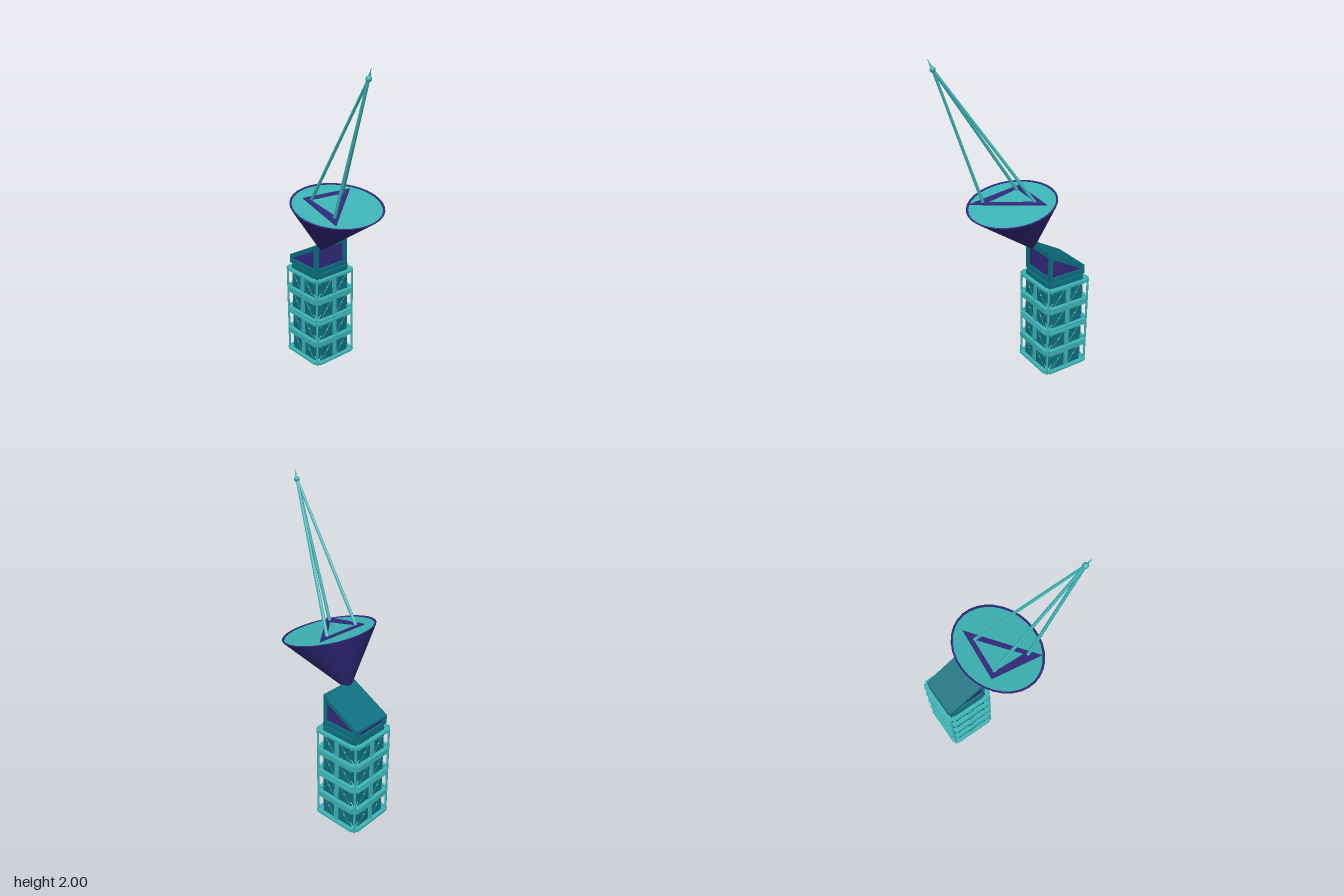
import * as THREE from 'three';
import { toCreasedNormals } from 'three/addons/utils/BufferGeometryUtils.js';

const teal = new THREE.MeshStandardMaterial({ color: 0x3cb4b6 });
const darkTeal = new THREE.MeshStandardMaterial({ color: 0x0c7080 });
const purple = new THREE.MeshStandardMaterial({ color: 0x32297c });

const V = (x, y, z) => new THREE.Vector3(x, y, z);

function add(parent, name, geometry, material, x = 0, y = 0, z = 0) {
  const mesh = new THREE.Mesh(geometry, material);
  mesh.name = name;
  mesh.position.set(x, y, z);
  parent.add(mesh);
  return mesh;
}

function box(parent, name, material, w, h, d, x, y, z) {
  return add(parent, name, new THREE.BoxGeometry(w, h, d), material, x, y, z);
}

// Thin rod between two points
function rod(parent, name, material, a, b, r0, r1 = r0, sides = 6) {
  const dir = b.clone().sub(a);
  const geo = toCreasedNormals(new THREE.CylinderGeometry(r1, r0, dir.length(), sides), 0.5);
  const mesh = add(parent, name, geo, material);
  mesh.position.copy(a).add(b).multiplyScalar(0.5);
  mesh.quaternion.setFromUnitVectors(V(0, 1, 0), dir.normalize());
  return mesh;
}

// Flat plate from an outline with an optional hole, extruded along +z
function plate(outline, hole, depth) {
  const toPoints = (list) => list.map(([x, y]) => new THREE.Vector2(x, y));
  const shape = new THREE.Shape(toPoints(outline));
  if (hole) shape.holes.push(new THREE.Path(toPoints(hole)));
  return new THREE.ExtrudeGeometry(shape, { depth, bevelEnabled: false });
}

const rect = (x0, y0, x1, y1) => [[x0, y0], [x1, y0], [x1, y1], [x0, y1]];

// One side of the lattice, built facing +z around the tower axis
function latticeSide() {
  const side = new THREE.Group();
  side.name = 'latticeSide';
  box(side, 'wallPanel', darkTeal, 0.225, 0.64, 0.02, 0, 0.325, 0.132);
  box(side, 'centrePost', teal, 0.028, 0.6, 0.012, 0, 0.31, 0.146);

  // Horizontal rails: thin at the ends, deep at quarter heights, paired in the middle
  for (const [y, h] of [[0.0075, 0.015], [0.155, 0.036], [0.3, 0.014], [0.322, 0.014], [0.465, 0.036], [0.607, 0.015]]) {
    box(side, 'rail', teal, 0.277, h, 0.03, 0, y, 0.152);
    box(side, 'innerRail', teal, 0.31, h * 0.8, 0.02, 0, y, 0.145);
  }

  // Cross bracing with a boss in each half bay
  for (const y of [0.08, 0.235, 0.39, 0.54]) {
    for (const s of [-1, 1]) {
      const x0 = s * 0.016, x1 = s * 0.108, z = 0.145, h = 0.058;
      rod(side, 'brace', darkTeal, V(x0, y - h, z), V(x1, y + h, z), 0.0025, 0.0025, 4);
      rod(side, 'brace', darkTeal, V(x0, y + h, z), V(x1, y - h, z), 0.0025, 0.0025, 4);
      add(side, 'boss', new THREE.SphereGeometry(0.007, 8, 6), teal, s * 0.062, y, z);
      // Corner gussets tying the posts to the wall
      for (const t of [-1, 1]) {
        rod(side, 'gusset', teal, V(s * 0.148, y + t * h, 0.148), V(s * 0.106, y + t * 0.03, 0.14), 0.003, 0.003, 4);
      }
    }
  }
  return side;
}

function buildTower() {
  const tower = new THREE.Group();
  tower.name = 'tower';
  box(tower, 'core', darkTeal, 0.25, 0.645, 0.25, 0, 0.3235, 0);
  box(tower, 'basePlate', teal, 0.315, 0.012, 0.315, 0, 0.006, 0);
  for (let i = 0; i < 4; i++) {
    const side = latticeSide();
    side.rotation.y = i * Math.PI / 2;
    tower.add(side);
  }
  for (const x of [-1, 1]) {
    for (const z of [-1, 1]) {
      rod(tower, 'cornerPost', teal, V(x * 0.15, 0, z * 0.15), V(x * 0.15, 0.615, z * 0.15), 0.007, 0.007, 8);
    }
  }
  tower.position.set(0.08, 0, -0.266);
  return tower;
}

// Wedge-shaped housing; side profiles use distance towards the back and height
function buildHousing() {
  const housing = new THREE.Group();
  housing.name = 'housing';
  const left = -0.058, right = 0.207, front = -0.14, back = -0.405;
  const profile = [[0.14, 0.645], [0.405, 0.645], [0.405, 0.7], [0.14, 0.845]];
  const opening = [[0.16, 0.675], [0.385, 0.675], [0.385, 0.682], [0.16, 0.803]];
  const inner = [[0.152, 0.65], [0.393, 0.65], [0.393, 0.7], [0.152, 0.832]];

  const core = plate(inner, null, right - left - 0.024).rotateY(Math.PI / 2);
  add(housing, 'panelCore', core, purple, left + 0.012);
  for (const x of [left, right - 0.013]) {
    add(housing, 'sideFrame', plate(profile, opening, 0.013).rotateY(Math.PI / 2), darkTeal, x);
  }
  const frontFrame = plate(rect(left, 0.645, right, 0.842), rect(-0.03, 0.675, 0.18, 0.808), 0.013);
  add(housing, 'frontFrame', frontFrame, darkTeal, 0, 0, front - 0.013);
  const backFrame = plate(rect(left, 0.645, right, 0.7), rect(-0.03, 0.658, 0.18, 0.69), 0.013);
  add(housing, 'backFrame', backFrame, darkTeal, 0, 0, back);

  const lid = [[0.14, 0.833], [0.405, 0.688], [0.405, 0.702], [0.14, 0.847]];
  add(housing, 'slopingLid', plate(lid, null, right - left).rotateY(Math.PI / 2), darkTeal, left);
  return housing;
}

function buildDish() {
  const dish = new THREE.Group();
  dish.name = 'dish';
  // Skewed cone: unit cone mapped from its tip to a tilted oval rim
  const skew = new THREE.Matrix4()
    .makeBasis(V(0.301, 0, 0), V(0, 0.35, 0.163), V(0, -0.06, 0.262))
    .setPosition(0, 0.79, -0.156);
  const profile = [[0, 0], [1, 1], [0.955, 1], [0.955, 0.98]].map(([r, y]) => new THREE.Vector2(r, y));
  const cone = toCreasedNormals(new THREE.LatheGeometry(profile, 32).applyMatrix4(skew), 0.6);
  add(dish, 'coneShell', cone, purple);
  const face = new THREE.CircleGeometry(0.958, 32).rotateX(-Math.PI / 2).translate(0, 0.986, 0);
  add(dish, 'dishFace', face.applyMatrix4(skew), teal);

  // Triangular frame lying on the dish face
  const tri = plate(
    [[-0.177, -0.195], [0.198, 0.108], [-0.145, 0.142]],
    [[-0.113, -0.108], [0.118, 0.087], [-0.117, 0.108]], 0.006).rotateX(-Math.PI / 2);
  const p = tri.attributes.position;
  for (let i = 0; i < p.count; i++) p.setY(i, p.getY(i) + 1.146 - 0.2 * p.getZ(i));
  tri.computeVertexNormals();
  add(dish, 'triangleFrame', tri, purple);

  // Tripod struts meeting at the feed
  const feed = V(-0.148, 1.945, 0.408);
  for (const foot of [V(-0.112, 1.165, -0.105), V(0.116, 1.16, -0.086), V(-0.13, 1.12, 0.125)]) {
    rod(dish, 'strut', teal, foot, feed, 0.0105, 0.0085);
  }
  add(dish, 'feed', new THREE.SphereGeometry(0.017, 12, 8), teal, feed.x, feed.y, feed.z);
  rod(dish, 'feedTip', teal, feed, V(-0.156, 2, 0.432), 0.008, 0.001);
  return dish;
}

export function createModel() {
  const model = new THREE.Group();
  model.name = 'dishTower';
  model.add(buildTower(), buildHousing(), buildDish());
  return model;
}
